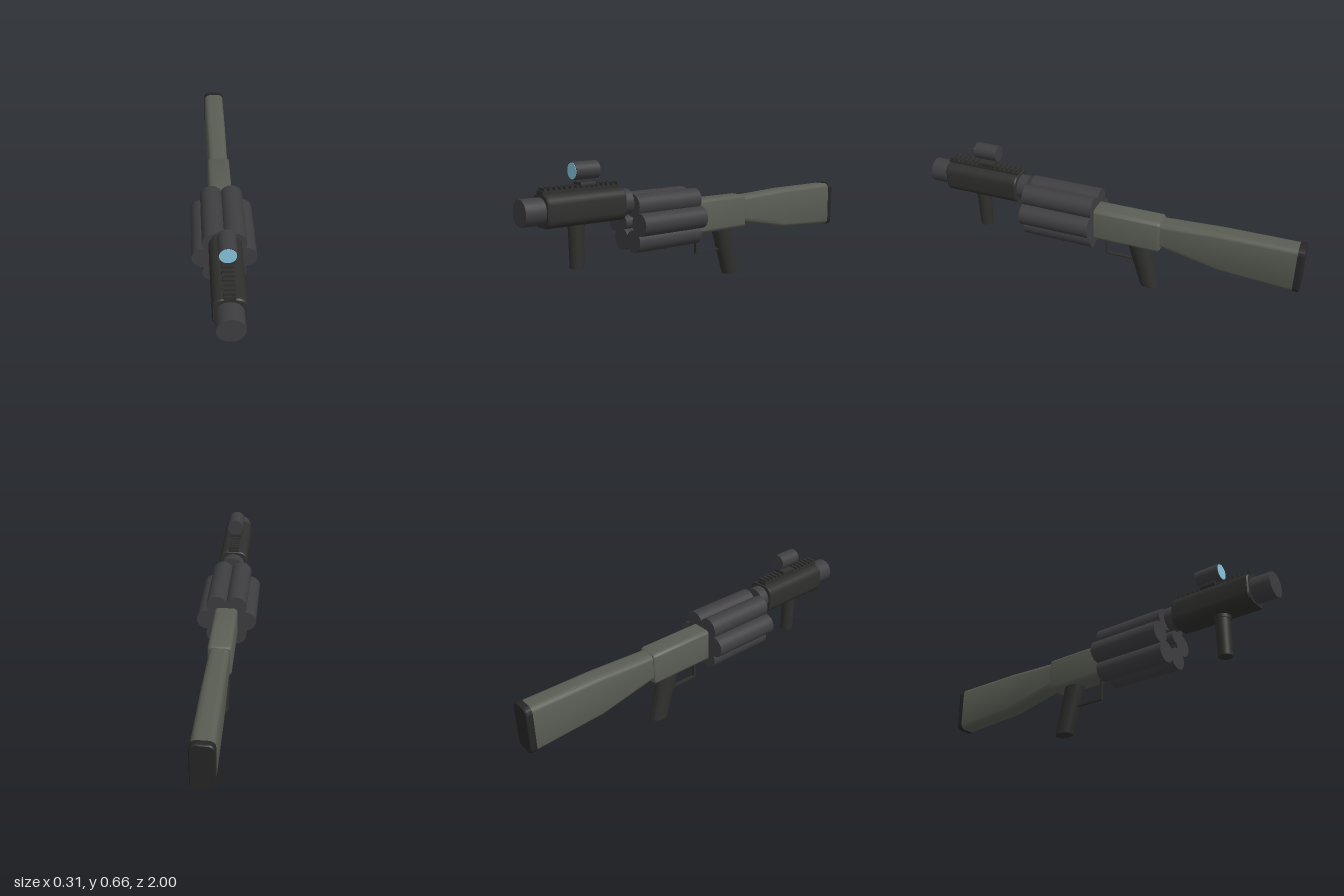
import * as THREE from 'three';
import { toCreasedNormals } from 'three/addons/utils/BufferGeometryUtils.js';

const mat = (color) => new THREE.MeshStandardMaterial({ color });

// Rounded-rectangle cross-sections [z, halfWidth, yBottom, yTop, cornerRadius], front to back
function loft(sections, steps = 6) {
  const rings = sections.map(([z, w, y0, y1, r]) => {
    const ring = [];
    const corners = [[w - r, y1 - r], [r - w, y1 - r], [r - w, y0 + r], [w - r, y0 + r]];
    corners.forEach(([cx, cy], q) => {
      for (let i = 0; i <= steps; i++) {
        const a = (q + i / steps) * Math.PI / 2;
        ring.push([cx + r * Math.cos(a), cy + r * Math.sin(a), z]);
      }
    });
    return ring;
  });
  const n = rings[0].length, pos = [];
  const tri = (...pts) => pts.forEach((p) => pos.push(...p));
  for (let i = 0; i + 1 < rings.length; i++) {
    for (let j = 0; j < n; j++) {
      const k = (j + 1) % n, A = rings[i], B = rings[i + 1];
      tri(A[j], B[j], B[k]);
      tri(A[j], B[k], A[k]);
    }
  }
  const mid = ([z, , y0, y1]) => [0, (y0 + y1) / 2, z];
  const last = rings[rings.length - 1];
  for (let j = 0; j < n; j++) {
    const k = (j + 1) % n;
    tri(mid(sections[0]), rings[0][j], rings[0][k]);
    tri(mid(sections[sections.length - 1]), last[k], last[j]);
  }
  const g = new THREE.BufferGeometry();
  g.setAttribute('position', new THREE.Float32BufferAttribute(pos, 3));
  return toCreasedNormals(g, 0.6);
}

// Cylinder along z between two depths
function tubeZ(r, z0, z1, x, y, sides = 28) {
  return new THREE.CylinderGeometry(r, r, z1 - z0, sides).rotateX(Math.PI / 2).translate(x, y, (z0 + z1) / 2);
}

function box(x, y0, y1, z0, z1) {
  return new THREE.BoxGeometry(x * 2, y1 - y0, z1 - z0).translate(0, (y0 + y1) / 2, (z0 + z1) / 2);
}

export function createModel() {
  const root = new THREE.Group();
  const metal = mat(0x3e3e41), dark = mat(0x2f2f2d), olive = mat(0x5a5d54);
  const rubber = mat(0x262626), glass = mat(0x87c5dd);
  const add = (name, geometry, material, parent = root) => {
    const m = new THREE.Mesh(geometry, material);
    m.name = name;
    parent.add(m);
    return m;
  };
  const group = (name) => {
    const g = new THREE.Group();
    g.name = name;
    root.add(g);
    return g;
  };

  // Barrel and handguard
  add('barrel', tubeZ(0.0625, 0.44, 1, 0, 0.451, 32), metal);
  add('handguard', loft([
    [0.9, 0.07, 0.38, 0.521, 0.04], [0.893, 0.075, 0.375, 0.526, 0.043],
    [0.497, 0.075, 0.375, 0.526, 0.043], [0.49, 0.07, 0.38, 0.521, 0.04],
  ]), dark);

  // Revolving drum of six chambers around an axle
  const drum = group('drum');
  for (let i = 0; i < 6; i++) {
    const a = i * Math.PI / 3;
    add('chamber', tubeZ(0.0555, 0.06, 0.44, 0.1 * Math.cos(a), 0.349 + 0.1 * Math.sin(a)), metal, drum);
  }
  add('drumAxle', tubeZ(0.033, 0.05, 0.465, 0, 0.353, 20), metal, drum);

  // Receiver, stock and butt pad
  add('receiver', loft([
    [0.06, 0.059, 0.249, 0.425, 0.022], [-0.28, 0.059, 0.249, 0.425, 0.022],
    [-0.287, 0.057, 0.252, 0.422, 0.02], [-0.293, 0.052, 0.259, 0.417, 0.018],
  ]), olive);
  add('stock', loft([
    [-0.28, 0.05, 0.277, 0.416, 0.025], [-0.32, 0.05, 0.269, 0.417, 0.026],
    [-0.6, 0.053, 0.21, 0.43, 0.03], [-0.97, 0.054, 0.189, 0.432, 0.03],
  ]), olive);
  add('buttPad', loft([
    [-0.968, 0.056, 0.186, 0.436, 0.032], [-0.994, 0.056, 0.186, 0.436, 0.032],
    [-1, 0.052, 0.19, 0.432, 0.03],
  ]), rubber);

  // Raked oval rear grip, leaning back towards its foot
  const grip = new THREE.CylinderGeometry(0.047, 0.041, 0.27, 28, 4).translate(0, 0.135, 0);
  const p = grip.attributes.position;
  for (let i = 0; i < p.count; i++) {
    p.setZ(i, p.getZ(i) * 1.2 - 0.232 + 0.27 * p.getY(i));
  }
  add('rearGrip', toCreasedNormals(grip.toNonIndexed(), 0.6), dark);

  // Trigger guard
  const guard = group('triggerGuard');
  add('guardFront', box(0.007, 0.137, 0.255, 0.005, 0.015), dark, guard);
  add('guardBottom', box(0.007, 0.137, 0.147, -0.16, 0.015), dark, guard);

  // Front grip with a collar
  add('frontGrip', new THREE.CylinderGeometry(0.038, 0.034, 0.22, 28).translate(0, 0.28, 0.722), dark);
  add('frontGripCollar', new THREE.CylinderGeometry(0.041, 0.041, 0.03, 28).translate(0, 0.372, 0.722), dark);

  // Toothed top rail
  const rail = group('topRail');
  add('railBase', box(0.027, 0.515, 0.541, 0.495, 0.9), dark, rail);
  const teeth = 15;
  for (let i = 0; i < teeth; i++) {
    const z = 0.505 + i * 0.38 / (teeth - 1);
    add('railTooth', box(0.025, 0.538, 0.554, z - 0.007, z + 0.007), dark, rail);
  }

  // Tube sight on its mount
  const sight = group('sight');
  add('sightMount', loft([
    [0.71, 0.032, 0.544, 0.566, 0.004], [0.63, 0.032, 0.544, 0.566, 0.004],
  ], 2), dark, sight);
  add('sightTube', tubeZ(0.0415, 0.61, 0.735, 0, 0.618, 32), metal, sight);
  add('sightLens', tubeZ(0.038, 0.73, 0.737, 0, 0.618, 32), glass, sight);

  return root;
}
